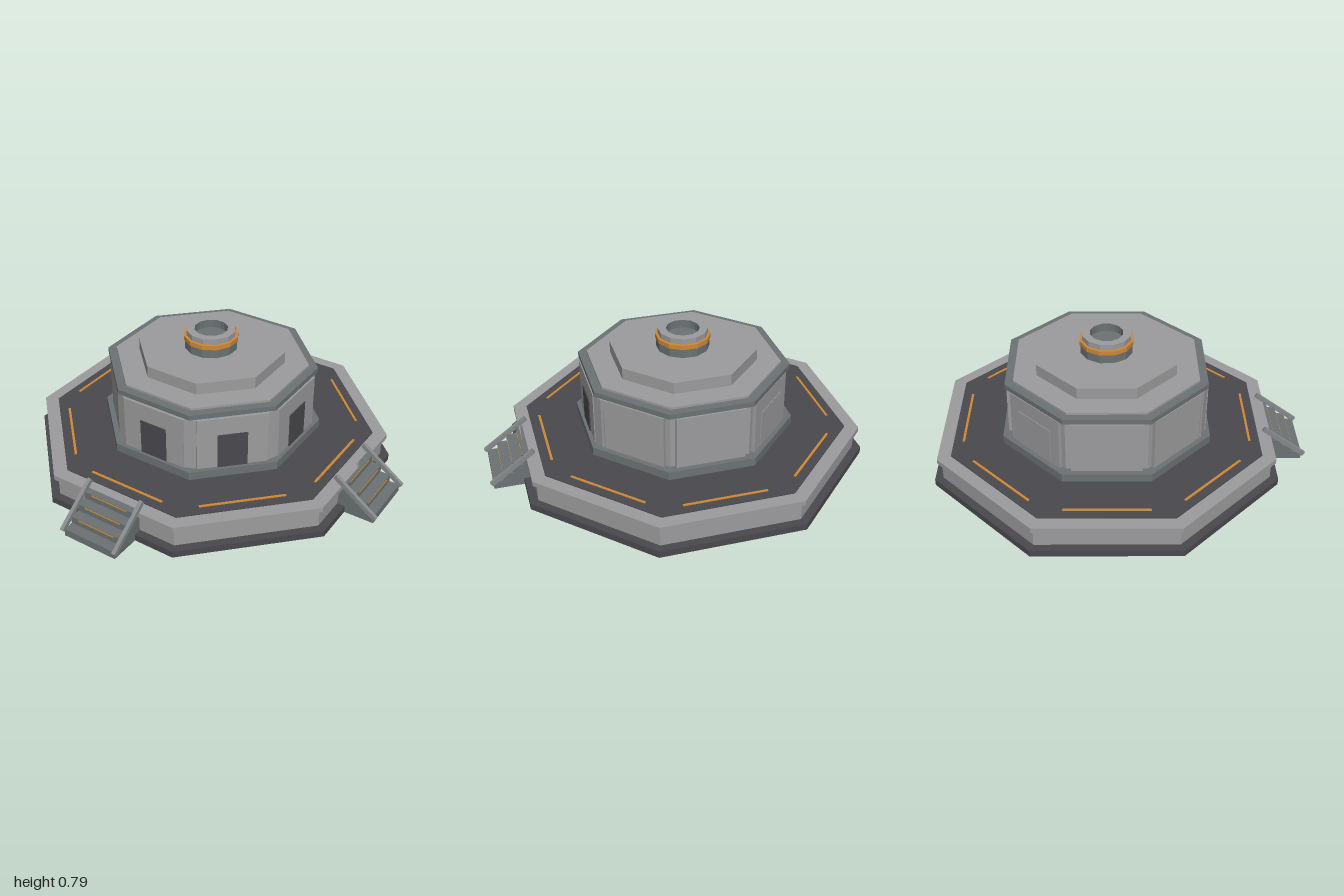
import * as THREE from 'three';

const mat = (name, color, side = THREE.FrontSide) => {
  const m = new THREE.MeshStandardMaterial({ color, side });
  m.name = name;
  m.flatShading = true;
  return m;
};

export function createModel() {
  const light = mat('lightGrey', 0x9c9c9e);
  const mid = mat('slateGrey', 0x6c7274);
  const rail = mat('railGrey', 0x868a8c);
  const dark = mat('charcoal', 0x4a494e);
  const orange = mat('orange', 0xd08a34);

  const root = new THREE.Group();
  root.name = 'domedStation';

  const add = (parent, name, geo, material) => {
    const m = new THREE.Mesh(geo, material);
    m.name = name;
    parent.add(m);
    return m;
  };

  // Octagonal slab with flats on the axes, sized by its half width
  const octagon = (name, half, y0, y1, material, topHalf = half) => {
    const k = 1 / Math.cos(Math.PI / 8);
    const g = new THREE.CylinderGeometry(topHalf * k, half * k, y1 - y0, 8);
    g.rotateY(Math.PI / 8);
    g.translate(0, (y0 + y1) / 2, 0);
    return add(root, name, g, material);
  };

  // Box given by its extents; z points outward in a side group
  const box = (parent, name, x0, x1, y0, y1, z0, z1, material) => {
    const g = new THREE.BoxGeometry(x1 - x0, y1 - y0, z1 - z0);
    g.translate((x0 + x1) / 2, (y0 + y1) / 2, (z0 + z1) / 2);
    return add(parent, name, g, material);
  };

  const sideGroup = (name, degrees) => {
    const g = new THREE.Group();
    g.name = name;
    g.rotation.y = THREE.MathUtils.degToRad(degrees);
    root.add(g);
    return g;
  };

  // Podium
  octagon('foundation', 1.0, 0, 0.04, dark);
  octagon('podiumWall', 0.953, 0.04, 0.15, light);
  octagon('podiumRim', 0.977, 0.15, 0.18, light);
  octagon('deck', 0.9, 0.178, 0.185, dark);

  // Building core and roof
  octagon('plinth', 0.605, 0.185, 0.235, mid);
  octagon('wallCore', 0.553, 0.235, 0.565, light);
  octagon('eaves', 0.578, 0.562, 0.592, mid);
  octagon('roof', 0.53, 0.592, 0.605, light);
  octagon('upperRoof', 0.4, 0.605, 0.675, light);

  // Eight sides: deck light, wall panel and, on three of them, a door
  for (let i = 0; i < 8; i++) {
    const a = i * 45;
    const side = sideGroup('side', a);
    box(side, 'deckLight', -0.24, 0.24, 0.183, 0.19, 0.834, 0.848, orange);
    const hasDoor = [0, 45, 315].includes(a);
    box(side, 'wallPanel', -0.2, 0.2, 0.235, 0.552, 0.54, hasDoor ? 0.582 : 0.574, light);
    if (hasDoor) box(side, 'door', -0.085, 0.085, 0.235, 0.447, 0.581, 0.588, dark);
    if (a === 180) box(side, 'servicePlate', -0.13, 0.13, 0.235, 0.46, 0.572, 0.578, light);
  }

  // Stepped posts on the corners beside the doors
  for (const a of [-67.5, -22.5, 22.5, 67.5]) {
    const post = sideGroup('cornerPost', a);
    box(post, 'tallPost', -0.035, 0.035, 0.235, 0.552, 0.56, 0.61, light);
    box(post, 'lowPost', -0.055, 0.055, 0.235, 0.49, 0.56, 0.602, light);
  }

  // Roof vent: open collar with an orange band
  const lathe = (name, pts, material, n = 12) =>
    add(root, name, new THREE.LatheGeometry(pts.map(p => new THREE.Vector2(...p)), n), material);
  lathe('ventNeck', [[0.155, 0.675], [0.155, 0.732]], mid);
  lathe('ventBand', [[0.14, 0.73], [0.161, 0.73], [0.161, 0.757], [0.14, 0.757]], orange);
  lathe('ventCap', [[0.145, 0.755], [0.145, 0.79], [0.098, 0.79]], light);
  lathe('ventThroat', [[0.098, 0.79], [0.098, 0.74], [0, 0.74]], mid, 24);

  // Two stairs on the front diagonals
  for (const a of [-45, 45]) {
    const stairs = sideGroup('stairs', a);
    for (let i = 0; i < 4; i++) {
      const front = 1.175 - i * 0.06;
      const top = 0.045 * (i + 1);
      box(stairs, 'step', -0.17, 0.17, top - 0.045, top, 0.955, front, mid);
      if (i > 0) box(stairs, 'stepLight', -0.12, 0.12, top - 0.011, top - 0.004, front - 0.002, front + 0.003, orange);
    }
    // Sloping handrails
    const run = 0.255, drop = 0.185;
    for (const s of [-1, 1]) {
      const g = new THREE.BoxGeometry(0.022, 0.026, Math.hypot(run, drop));
      g.rotateX(Math.atan2(drop, run));
      g.translate(s * 0.175, 0.132, 1.06);
      add(stairs, 'handrail', g, rail);
    }
  }
  return root;
}
